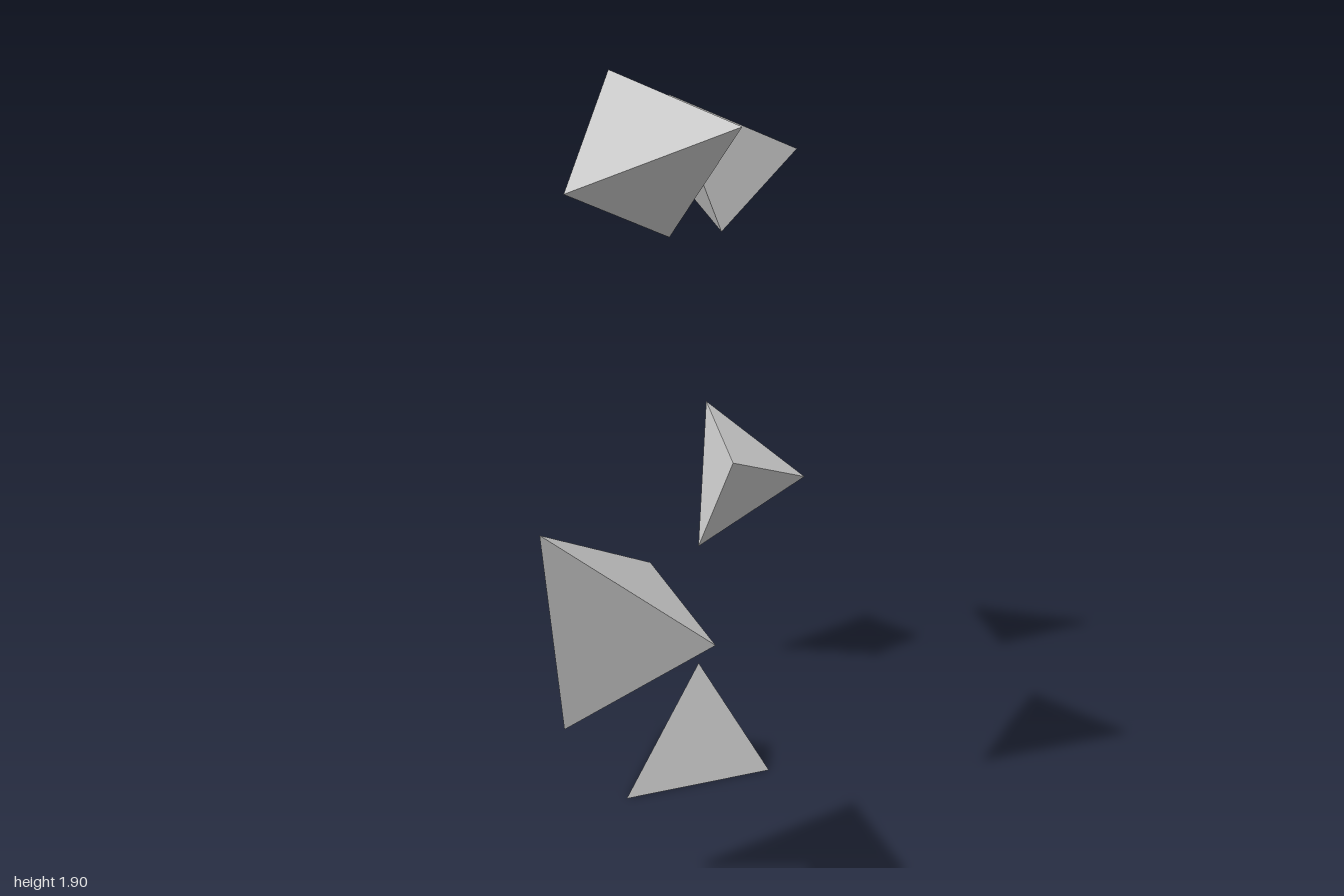
import * as THREE from 'three';
import { ConvexGeometry } from 'three/addons/geometries/ConvexGeometry.js';

const COUNT = 5;
const RADIUS = 0.967; // ring centre to the outer face of each pyramid
const HALF_WIDTH = 0.253;

// Three-sided pyramid: base on the ring's outside, apex pointing inward (+y)
function pyramidGeometry() {
  return new ConvexGeometry([
    new THREE.Vector3(-0.179, 0, HALF_WIDTH),
    new THREE.Vector3(-0.179, 0, -HALF_WIDTH),
    new THREE.Vector3(0.175, 0, 0),
    new THREE.Vector3(-0.027, 0.305, 0),
  ]).translate(0, -RADIUS, 0);
}

export function createModel() {
  const model = new THREE.Group();
  model.name = 'pyramidRing';
  const geometry = pyramidGeometry();
  const material = new THREE.MeshStandardMaterial({ color: 0xcccccc, flatShading: true });

  // Equal turns about the x axis, first pyramid resting on the ground
  for (let i = 0; i < COUNT; i++) {
    const pyramid = new THREE.Mesh(geometry, material);
    pyramid.name = `pyramid${i + 1}`;
    pyramid.position.y = RADIUS;
    pyramid.rotation.x = (i * 2 * Math.PI) / COUNT;
    model.add(pyramid);
  }
  return model;
}
